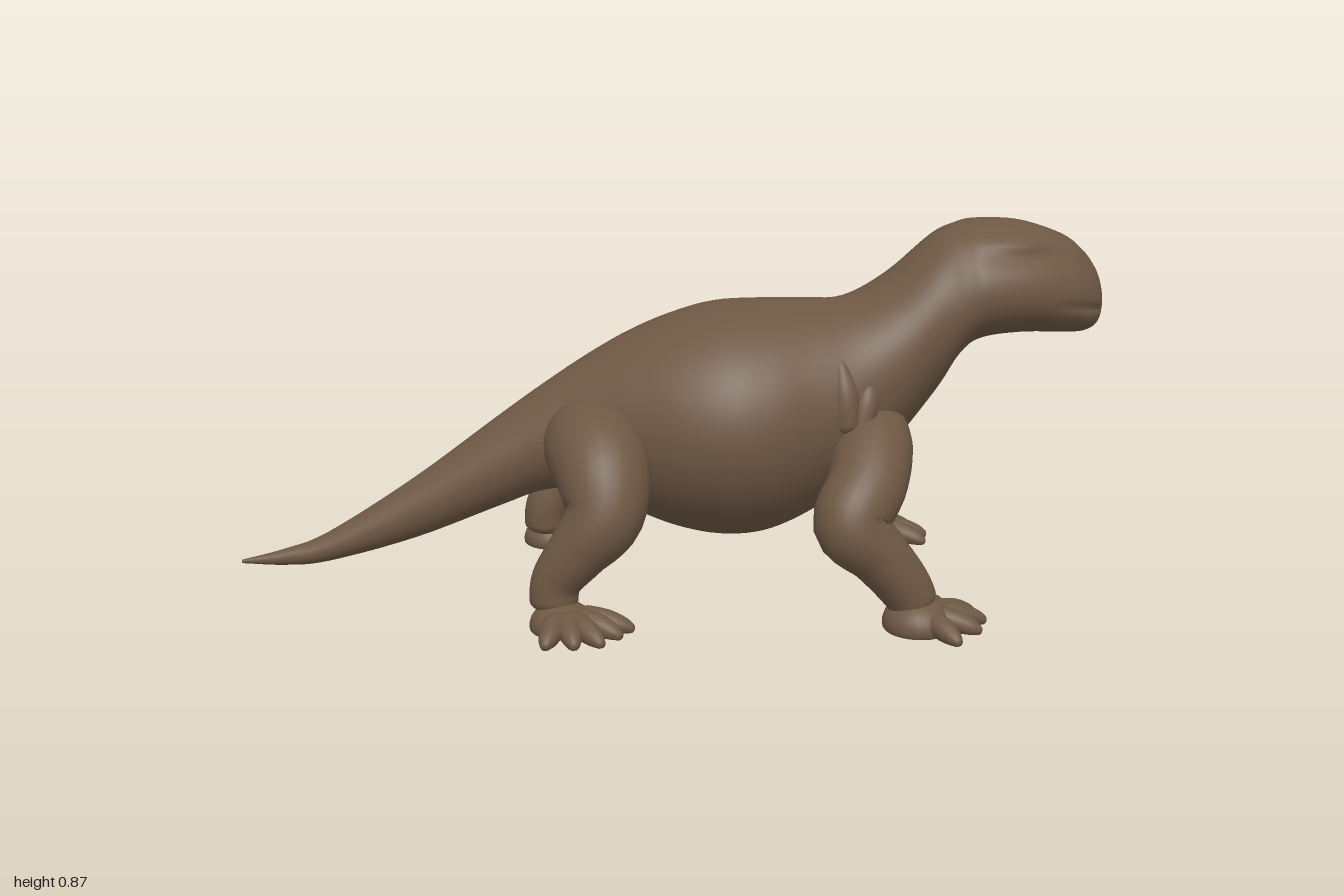
import * as THREE from 'three';

const hide = new THREE.MeshStandardMaterial({ color: 0x6e5844 });
hide.name = 'brown hide';

// Closed skin over rings of points; each ring runs counter-clockwise around the path
function skin(rings) {
  const n = rings[0].length, pos = [], idx = [];
  rings.forEach(r => r.forEach(p => pos.push(p.x, p.y, p.z)));
  for (let i = 0; i < rings.length - 1; i++) {
    for (let j = 0; j < n; j++) {
      const k = (j + 1) % n;
      const a = i * n + j, b = a + n, c = i * n + k, d = c + n;
      idx.push(a, b, c, b, d, c);
    }
  }
  const last = (rings.length - 1) * n;
  for (let j = 1; j < n - 1; j++) {
    idx.push(0, j, j + 1, last, last + j + 1, last + j);
  }
  const g = new THREE.BufferGeometry();
  g.setAttribute('position', new THREE.Float32BufferAttribute(pos, 3));
  g.setIndex(idx);
  g.computeVertexNormals();
  return g;
}

function part(geometry, name) {
  const m = new THREE.Mesh(geometry, hide);
  m.name = name;
  return m;
}

// Round-ended tube through points [x, y, z, radius]; side mirrors it in z
function limb(name, pts, side, { steps = 30, sides = 20, round = 0.1, floor = 0 } = {}) {
  const path = new THREE.CatmullRomCurve3(
    pts.map(p => new THREE.Vector3(p[0], p[1], p[2] * side)), false, 'catmullrom', 0.5);
  const radii = new THREE.CatmullRomCurve3(
    pts.map(p => new THREE.Vector3(p[3], 0, 0)), false, 'catmullrom', 0.5);
  const normal = new THREE.Vector3(0.3, 1, 0.2 * side);
  const rings = [];
  for (let i = 0; i <= steps; i++) {
    const t = (1 - Math.cos(Math.PI * i / steps)) / 2;
    const c = path.getPoint(t), dir = path.getTangent(t);
    normal.addScaledVector(dir, -normal.dot(dir)).normalize();
    const across = normal.clone().cross(dir);
    const e = Math.min(1, Math.min(t, 1 - t) / round);
    const r = radii.getPoint(t).x * Math.sqrt(Math.max(0.001, 1 - (1 - e) ** 2));
    const ring = [];
    for (let j = 0; j < sides; j++) {
      const a = j / sides * Math.PI * 2;
      const p = c.clone().addScaledVector(normal, r * Math.cos(a))
        .addScaledVector(across, r * Math.sin(a));
      p.y = Math.max(p.y, floor);
      ring.push(p);
    }
    rings.push(ring);
  }
  return part(skin(rings), name);
}

const bump = (v, centre, width) => Math.exp(-(((v - centre) / width) ** 2));

// Tail, trunk, neck and head: x, top, bottom, half width
function buildBody() {
  const rows = [
    [-1, 0.094, 0.086, 0.004], [-0.9, 0.118, 0.08, 0.02], [-0.8, 0.155, 0.088, 0.036],
    [-0.6, 0.28, 0.14, 0.062], [-0.4, 0.425, 0.215, 0.096], [-0.3, 0.495, 0.25, 0.12],
    [-0.2, 0.56, 0.25, 0.155], [-0.1, 0.615, 0.205, 0.215], [0, 0.655, 0.165, 0.272],
    [0.1, 0.681, 0.144, 0.3], [0.2, 0.686, 0.148, 0.293], [0.3, 0.686, 0.185, 0.258],
    [0.4, 0.69, 0.25, 0.226], [0.5, 0.745, 0.34, 0.192], [0.6, 0.832, 0.465, 0.165],
    [0.65, 0.857, 0.55, 0.163], [0.7, 0.868, 0.592, 0.166], [0.8, 0.863, 0.605, 0.152],
    [0.9, 0.83, 0.602, 0.118], [0.95, 0.792, 0.602, 0.085], [0.98, 0.752, 0.613, 0.055],
    [0.995, 0.715, 0.635, 0.028], [1, 0.685, 0.66, 0.005],
  ];
  const spline = f => new THREE.CatmullRomCurve3(rows.map(f), false, 'catmullrom', 0.5);
  const tops = spline(r => new THREE.Vector3(r[0], r[1], r[3]));
  const bottoms = spline(r => new THREE.Vector3(r[0], r[2], 0));
  const rings = [], steps = 110, sides = 72;
  for (let i = 0; i <= steps; i++) {
    const top = tops.getPoint(i / steps), low = bottoms.getPoint(i / steps).y;
    const head = THREE.MathUtils.smoothstep(top.x, 0.55, 0.72);
    const snout = THREE.MathUtils.smoothstep(top.x, 0.84, 0.92);
    const ring = [];
    for (let j = 0; j < sides; j++) {
      const a = j / sides * Math.PI * 2, s = Math.sin(a);
      const y = (top.y + low) / 2 + (top.y - low) / 2 * s;
      let z = top.z * Math.cos(a) * (1 - 0.17 * head * s);
      // Eye hollow below the brow, and the mouth line
      const brow = 0.815 - 0.5 * Math.max(0, top.x - 0.87);
      const eye = bump(y, brow - 0.024, 0.018) * bump(top.x, 0.84, 0.11) * head;
      const ridge = bump(y, brow + 0.012, 0.015) * bump(top.x, 0.8, 0.13) * head;
      const mouth = bump(y, 0.648 + Math.abs(z) * 0.25, 0.008) * snout;
      z *= 1 - 0.12 * eye + 0.09 * ridge - 0.04 * mouth;
      ring.push(new THREE.Vector3(top.x - 0.006 * mouth * (top.x < 0.99 ? 1 : 0), y, z));
    }
    rings.push(ring);
  }
  return part(skin(rings), 'body');
}

// Foot: flat-bottomed pad with five splayed toes ending at [x, z]
function buildFoot(name, side, centre, size, tips, floor) {
  const foot = new THREE.Group();
  foot.name = name;
  const pad = new THREE.SphereGeometry(1, 28, 18).scale(...size)
    .translate(centre[0], centre[1], centre[2] * side);
  const p = pad.attributes.position;
  for (let i = 0; i < p.count; i++) p.setY(i, Math.max(p.getY(i), floor));
  pad.computeVertexNormals();
  foot.add(part(pad, 'pad'));
  const [cx, , cz] = centre;
  for (const [x, z] of tips) {
    const at = f => [cx + (x - cx) * f, cz + (z - cz) * f];
    const [a, b, c] = [at(0.25), at(0.6), at(0.85)];
    foot.add(limb('toe', [
      [a[0], floor + 0.032, a[1], 0.027], [b[0], floor + 0.024, b[1], 0.026],
      [c[0], floor + 0.014, c[1], 0.019], [x, floor + 0.006, z, 0.008],
    ], side, { steps: 16, sides: 14, round: 0.06, floor }));
  }
  return foot;
}

function buildFrontLeg(side) {
  const leg = new THREE.Group();
  leg.name = side > 0 ? 'frontLegRight' : 'frontLegLeft';
  leg.add(limb('arm', [
    [0.44, 0.405, 0.1, 0.085], [0.432, 0.375, 0.195, 0.092], [0.405, 0.315, 0.285, 0.088],
    [0.362, 0.245, 0.338, 0.083], [0.425, 0.175, 0.343, 0.068],
    [0.485, 0.1, 0.338, 0.06], [0.515, 0.04, 0.338, 0.052],
  ], side, { steps: 48, sides: 28, round: 0.07 }));
  // Loose skin folds behind the shoulder
  leg.add(limb('shoulderFold', [
    [0.37, 0.42, 0.222, 0.03], [0.365, 0.51, 0.212, 0.03], [0.355, 0.585, 0.185, 0.012],
  ], side, { steps: 18, sides: 14 }));
  leg.add(limb('shoulderFold', [
    [0.4, 0.42, 0.218, 0.03], [0.415, 0.49, 0.206, 0.028], [0.425, 0.54, 0.185, 0.012],
  ], side, { steps: 18, sides: 14 }));
  leg.add(buildFoot('frontFoot', side, [0.515, 0.018, 0.343], [0.078, 0.06, 0.085],
    [[0.595, 0.208], [0.66, 0.263], [0.675, 0.325], [0.648, 0.4], [0.583, 0.474]], 0.003));
  return leg;
}

function buildHindLeg(side) {
  const leg = new THREE.Group();
  leg.name = side > 0 ? 'hindLegRight' : 'hindLegLeft';
  leg.add(limb('thighAndShin', [
    [-0.2, 0.385, 0.06, 0.1], [-0.192, 0.38, 0.15, 0.11], [-0.175, 0.345, 0.24, 0.106],
    [-0.178, 0.265, 0.298, 0.088], [-0.235, 0.19, 0.305, 0.068],
    [-0.283, 0.12, 0.298, 0.056], [-0.288, 0.05, 0.3, 0.054],
  ], side, { steps: 48, sides: 28, round: 0.07 }));
  leg.add(buildFoot('hindFoot', side, [-0.272, 0.03, 0.325], [0.072, 0.052, 0.075],
    [[-0.315, 0.463], [-0.25, 0.468], [-0.19, 0.458], [-0.145, 0.408], [-0.115, 0.36]], 0.018));
  return leg;
}

export function createModel() {
  const model = new THREE.Group();
  model.name = 'lizard';
  model.add(buildBody());
  for (const side of [1, -1]) model.add(buildFrontLeg(side), buildHindLeg(side));
  return model;
}
